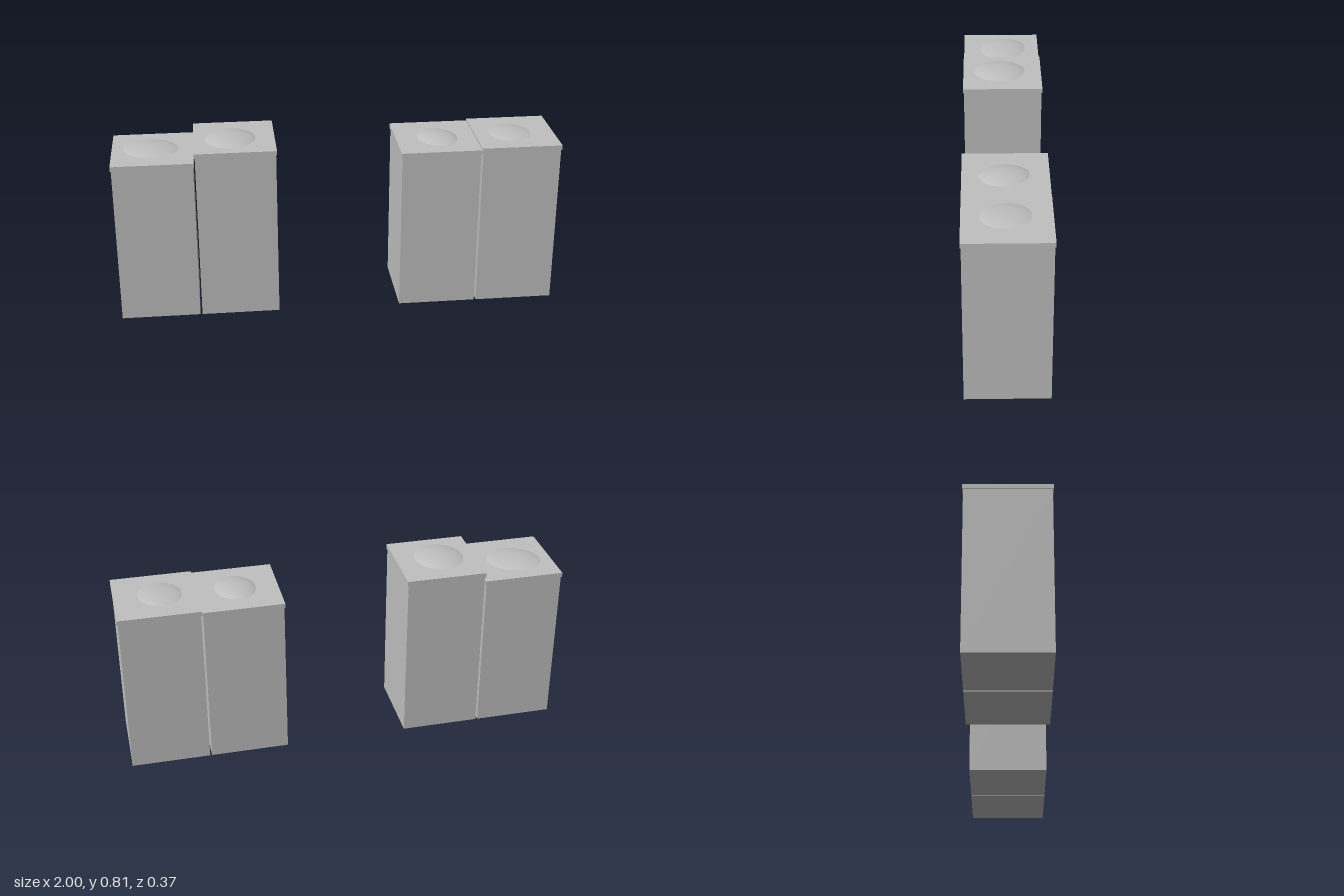
import * as THREE from 'three';

const gray = new THREE.MeshStandardMaterial({ color: 0xc0c0c0 });
gray.name = 'plain gray';

// One entry per cabinet: centre x, top height, and dome centre, radii, height and turn
const units = [
  { x: -0.819, top: 0.752, dome: [-0.827, -0.01, 0.125, 0.108, 0.014, -0.35] },
  { x: -0.456, top: 0.795, dome: [-0.473, 0.013, 0.112, 0.12, 0.017, 0] },
  { x: 0.456, top: 0.757, dome: [0.465, 0.006, 0.09, 0.108, 0.016, 0.2] },
  { x: 0.819, top: 0.765, dome: [0.798, 0.006, 0.096, 0.106, 0.012, 0.2] },
];
const WIDTH = 0.362, DEPTH = 0.371, LID = 0.021;

function box(name, w, h, d, y) {
  const mesh = new THREE.Mesh(new THREE.BoxGeometry(w, h, d), gray);
  mesh.name = name;
  mesh.position.y = y;
  return mesh;
}

// Shallow spherical cap squashed to an oval, base at y = 0
function domeGeometry(rx, rz, height) {
  const angle = 0.9;
  const geo = new THREE.SphereGeometry(1, 40, 12, 0, Math.PI * 2, 0, angle);
  geo.translate(0, -Math.cos(angle), 0);
  const s = Math.sin(angle);
  geo.scale(rx / s, height / (1 - Math.cos(angle)), rz / s);
  return geo;
}

export function createModel() {
  const model = new THREE.Group();
  model.name = 'cabinets';
  for (const { x, top, dome } of units) {
    const unit = new THREE.Group();
    unit.name = 'cabinet';
    unit.position.x = x;

    // Body slightly narrower than its overhanging lid
    const h = top - LID;
    unit.add(box('body', WIDTH - 0.008, h, DEPTH - 0.008, h / 2));
    unit.add(box('lid', WIDTH, LID, DEPTH, top - LID / 2));

    // Low mound on the lid
    const [dx, dz, rx, rz, height, turn] = dome;
    const mound = new THREE.Mesh(domeGeometry(rx, rz, height), gray);
    mound.name = 'mound';
    mound.position.set(dx - x, top, dz);
    mound.rotation.y = turn;
    unit.add(mound);

    model.add(unit);
  }
  return model;
}
